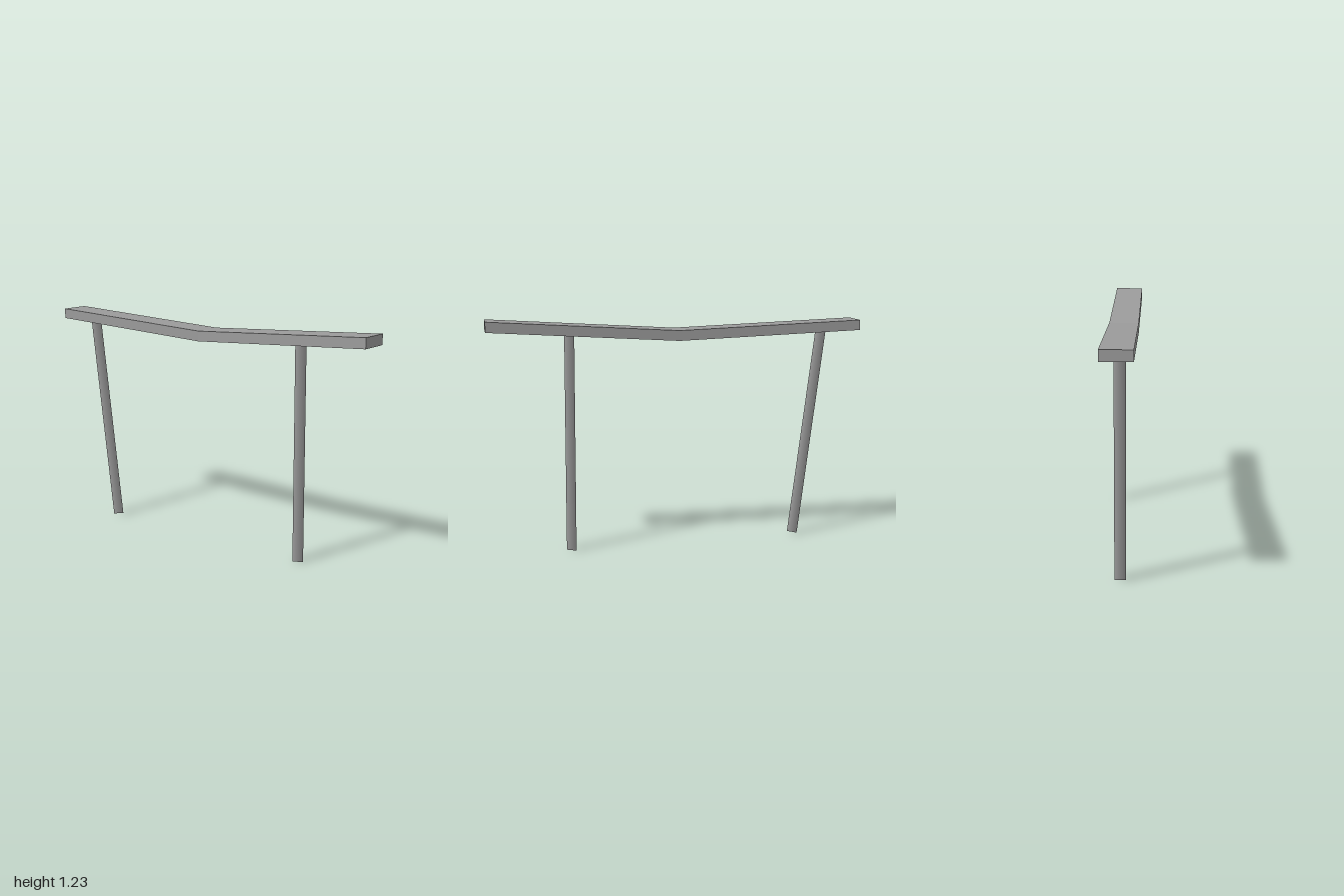
import * as THREE from 'three';

const COLOR = 0x9b9b9b;
const plankMaterial = new THREE.MeshStandardMaterial({ color: COLOR, flatShading: true });
const postMaterial = new THREE.MeshStandardMaterial({ color: COLOR, side: THREE.DoubleSide });

// Plank bent at the middle and turned slightly in plan
function makePlank() {
  const geometry = new THREE.BoxGeometry(1.995, 0.054, 0.155, 2, 1, 1);
  const p = geometry.attributes.position;
  for (let i = 0; i < p.count; i++) {
    const x = p.getX(i);
    const z = p.getZ(i);
    const rise = x < 0 ? -0.036 * x : 0.064 * x;
    p.setXYZ(i, x - 0.0325 * z, p.getY(i) + 1.139 + rise, z + 0.0325 * x);
  }
  const flat = geometry.toNonIndexed();
  flat.computeVertexNormals();
  const plank = new THREE.Mesh(flat, plankMaterial);
  plank.name = 'plank';
  return plank;
}

// Open three-sided post between two points, one edge towards +x
function makePost(name, bottom, top) {
  const axis = top.clone().sub(bottom);
  const geometry = new THREE.CylinderGeometry(0.032, 0.032, axis.length(), 3, 1, true);
  geometry.rotateY(Math.PI / 2);
  const post = new THREE.Mesh(geometry, postMaterial);
  post.name = name;
  post.position.copy(bottom).add(top).multiplyScalar(0.5);
  post.quaternion.setFromUnitVectors(new THREE.Vector3(0, 1, 0), axis.normalize());
  return post;
}

export function createModel() {
  const model = new THREE.Group();
  model.name = 'plankOnPosts';
  const at = (x, y) => new THREE.Vector3(x, y, -0.0175);
  model.add(
    makePlank(),
    makePost('leaningPost', at(-0.669, 0.008), at(-0.808, 1.15)),
    makePost('uprightPost', at(0.579, 0), at(0.568, 1.16)),
  );
  return model;
}
